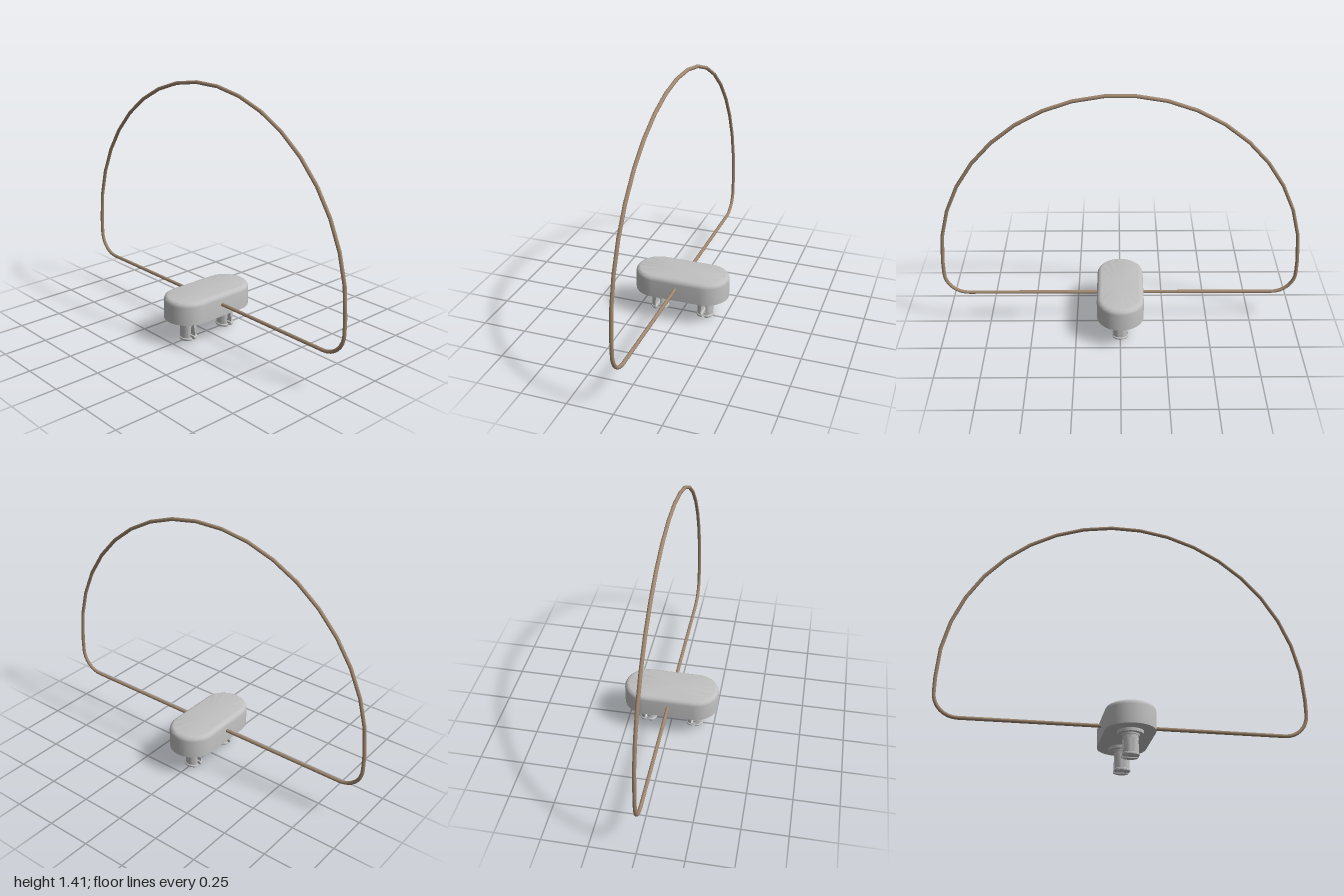
import * as THREE from 'three';
import { toCreasedNormals } from 'three/addons/utils/BufferGeometryUtils.js';

// Closed solid through equal-length rings of [x, y, z], listed bottom to top
function loft(rings) {
  const n = rings[0].length, pos = rings.flat(2), idx = [];
  for (let k = 0; k < rings.length - 1; k++) {
    for (let i = 0; i < n; i++) {
      const a = k * n + i, b = k * n + (i + 1) % n;
      idx.push(a, a + n, b, b, a + n, b + n);
    }
  }
  const cap = (k, top) => {
    const c = pos.length / 3;
    const mid = rings[k].reduce((s, p) => s.map((v, j) => v + p[j] / n), [0, 0, 0]);
    pos.push(...mid);
    for (let i = 0; i < n; i++) {
      const a = k * n + i, b = k * n + (i + 1) % n;
      idx.push(...(top ? [c, b, a] : [c, a, b]));
    }
  };
  cap(0, false);
  cap(rings.length - 1, true);
  const g = new THREE.BufferGeometry();
  g.setAttribute('position', new THREE.Float32BufferAttribute(pos, 3));
  g.setIndex(idx);
  return toCreasedNormals(g, 0.6);
}

// Pill-shaped ring, long in z
function pillRing(y, r) {
  const ring = [], half = 0.14, n = 16;
  for (const side of [1, -1]) {
    for (let i = 0; i <= n; i++) {
      const a = Math.PI * i / n;
      ring.push([side * r * Math.cos(a), y, side * (half + r * Math.sin(a))]);
    }
  }
  return ring;
}

// Half-disc ring with flattened x sides and a gap s to the centre plane
function prongRing([y, r, s, flat]) {
  const ring = [], n = 14, a0 = Math.asin(s / r);
  for (let i = 0; i <= n; i++) {
    const a = a0 + (Math.PI - 2 * a0) * i / n;
    ring.push([THREE.MathUtils.clamp(r * Math.cos(a), -flat, flat), y, r * Math.sin(a)]);
  }
  return ring;
}

// Straight-segment path through given points
class Polyline extends THREE.Curve {
  constructor(points) {
    super();
    this.points = points;
  }
  getPoint(u, target = new THREE.Vector3()) {
    const n = this.points.length;
    return target.copy(this.points[Math.round(u * n) % n]);
  }
  getPointAt(u, target) {
    return this.getPoint(u, target);
  }
  getTangentAt(u, target = new THREE.Vector3()) {
    const n = this.points.length, i = Math.round(u * n) % n, p = this.points;
    const before = p[i].clone().sub(p[(i + n - 1) % n]).normalize();
    const after = p[(i + 1) % n].clone().sub(p[i]).normalize();
    return target.copy(before).add(after).normalize();
  }
}

export function createModel() {
  const model = new THREE.Group();
  const grey = new THREE.MeshStandardMaterial({ color: 0xc0c0c0 });
  grey.name = 'light grey plastic';
  const bronze = new THREE.MeshStandardMaterial({ color: 0xa08870 });
  bronze.name = 'bronze wire';

  const add = (name, geometry, material, parent = model) => {
    const mesh = new THREE.Mesh(geometry, material);
    mesh.name = name;
    parent.add(mesh);
    return mesh;
  };

  // Wire hoop: faceted arch, rounded lower corners, straight bottom
  const points = [];
  const arc = (cx, cy, r, from, to, n) => {
    for (let i = 0; i <= n; i++) {
      const a = THREE.MathUtils.degToRad(from + (to - from) * i / n);
      points.push(new THREE.Vector3(cx + r * Math.cos(a), cy + r * Math.sin(a), 0));
    }
  };
  arc(0, 0.418, 0.99, 0, 180, 19);
  arc(-0.86, 0.335, 0.13, 180, 270, 8);
  arc(0.86, 0.335, 0.13, 270, 360, 8);
  add('wireHoop', new THREE.TubeGeometry(new Polyline(points), points.length, 0.01, 10, true), bronze);

  // Pill-shaped block with a rounded top edge
  const bevel = 0.028, rings = [pillRing(0.135, 0.131)];
  for (let i = 0; i <= 5; i++) {
    const a = Math.PI / 2 * i / 5;
    rings.push(pillRing(0.264 - bevel + bevel * Math.sin(a), 0.131 - bevel + bevel * Math.cos(a)));
  }
  add('block', loft(rings), grey);

  // Split snap-in pegs: [height, radius, half gap, flat half width]
  const rows = [
    [0, 0.043, 0.008, 0.038], [0.006, 0.05, 0.008, 0.043], [0.014, 0.05, 0.008, 0.043],
    [0.018, 0.045, 0.008, 0.04], [0.022, 0.045, 0.015, 0.039], [0.04, 0.045, 0.015, 0.039],
    [0.075, 0.045, 0.011, 0.038], [0.09, 0.045, 0.007, 0.038], [0.095, 0.045, 0, 0.038],
    [0.108, 0.045, 0, 0.038], [0.11, 0.047, 0, 0.047], [0.12, 0.047, 0, 0.047],
  ];
  const prongGeometry = loft(rows.map(prongRing));
  const collarGeometry = new THREE.CylinderGeometry(0.068, 0.068, 0.02, 32);
  for (const side of [1, -1]) {
    const peg = new THREE.Group();
    peg.name = side > 0 ? 'frontPeg' : 'backPeg';
    peg.position.z = side * 0.137;
    add('collar', collarGeometry, grey, peg).position.y = 0.128;
    add('frontProng', prongGeometry, grey, peg);
    add('backProng', prongGeometry, grey, peg).rotation.y = Math.PI;
    model.add(peg);
  }
  return model;
}
